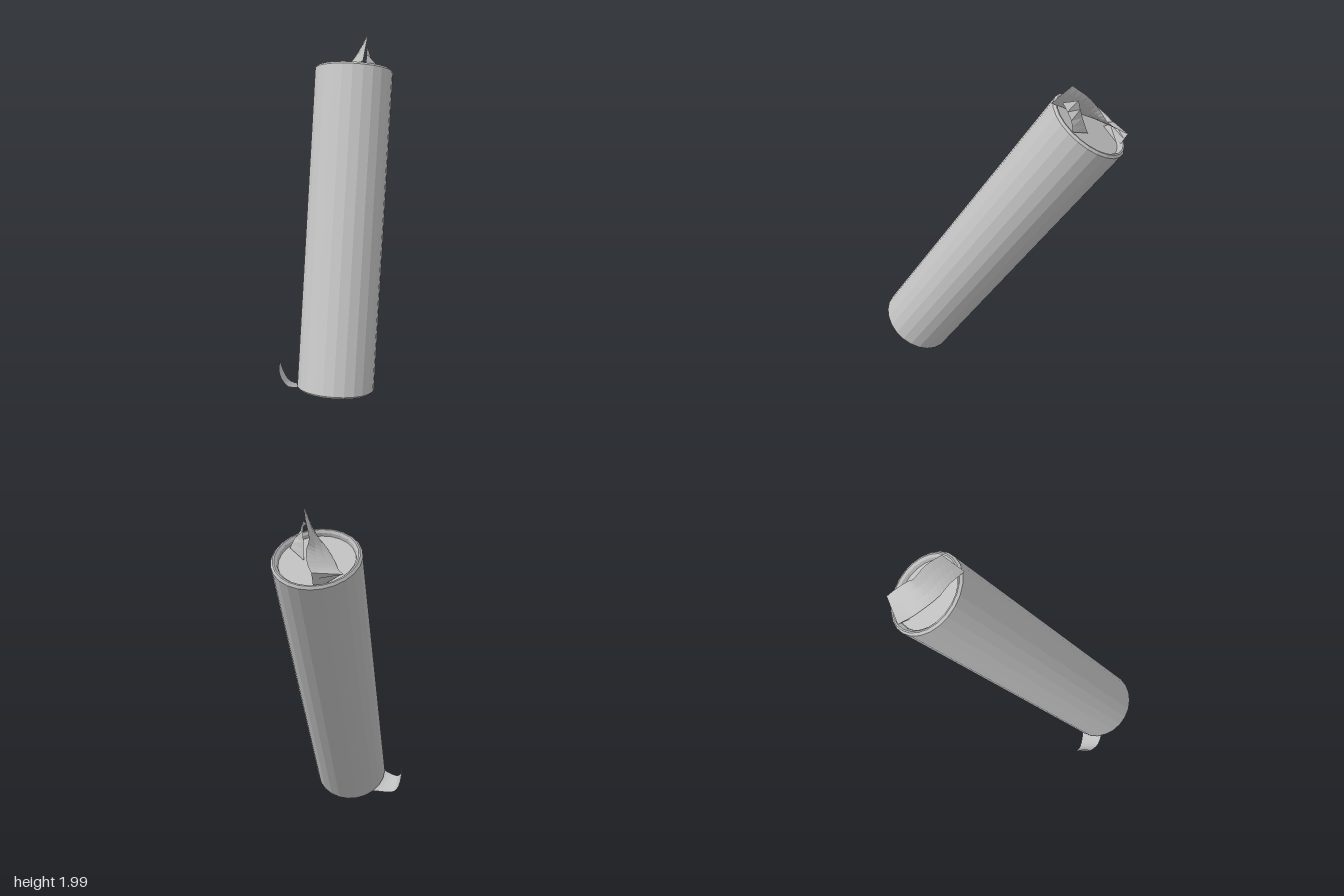
import * as THREE from 'three';

const foilGrey = new THREE.MeshStandardMaterial({ color: 0xbfbfbf, flatShading: true, side: THREE.DoubleSide });
foilGrey.name = 'foilGrey';

const v = (p) => new THREE.Vector3(...p);

// Ribbon lofted between two smooth edge curves
function ribbon(name, edgeA, edgeB, steps = 16, across = 3) {
  const a = new THREE.CatmullRomCurve3(edgeA.map(v));
  const b = new THREE.CatmullRomCurve3(edgeB.map(v));
  const pos = [], index = [], row = across + 1;
  for (let i = 0; i <= steps; i++) {
    const p = a.getPoint(i / steps), q = b.getPoint(i / steps);
    for (let j = 0; j <= across; j++) {
      pos.push(...p.clone().lerp(q, j / across).toArray());
      if (i < steps && j < across) {
        const k = i * row + j;
        index.push(k, k + 1, k + row, k + 1, k + row + 1, k + row);
      }
    }
  }
  const geo = new THREE.BufferGeometry();
  geo.setAttribute('position', new THREE.Float32BufferAttribute(pos, 3));
  geo.setIndex(index);
  geo.computeVertexNormals();
  const mesh = new THREE.Mesh(geo, foilGrey);
  mesh.name = name;
  return mesh;
}

export function createModel() {
  const model = new THREE.Group();
  model.name = 'sealedTube';

  // Tube with a chamfered rim and recessed disc at each end
  const half = 0.964, outer = 0.233, inner = 0.197, depth = 0.03, bevel = 0.012;
  const lower = [
    [0, -half + depth], [inner, -half + depth], [inner + 0.004, -half + bevel],
    [inner + 0.016, -half], [outer - bevel, -half], [outer, -half + bevel],
  ];
  const upper = lower.map(([r, y]) => [r, -y]).reverse();
  const profile = [...lower, ...upper].map(([r, y]) => new THREE.Vector2(r, y));
  const tube = new THREE.Mesh(new THREE.LatheGeometry(profile, 24), foilGrey);
  tube.name = 'tube';
  tube.quaternion.setFromUnitVectors(new THREE.Vector3(0, 1, 0), v([-0.244, 0.843, -0.48]).normalize());
  tube.position.y = 0.94;
  model.add(tube);

  // Twisted tab rising from the top disc
  model.add(ribbon('topTab',
    [[-0.344, 1.70, -0.628], [-0.30, 1.73, -0.603], [-0.245, 1.79, -0.55],
      [-0.234, 1.84, -0.514], [-0.174, 1.93, -0.472], [-0.11, 2.0, -0.41]],
    [[-0.433, 1.685, -0.493], [-0.37, 1.70, -0.455], [-0.325, 1.73, -0.425],
      [-0.227, 1.79, -0.372], [-0.156, 1.835, -0.351], [-0.08, 1.885, -0.312]]));

  // End of the top tab turned down to the disc
  model.add(ribbon('topTabFold',
    [[-0.344, 1.70, -0.628], [-0.325, 1.61, -0.59]],
    [[-0.433, 1.685, -0.493], [-0.375, 1.675, -0.465]], 2, 1));

  // Small crease joining the raised tip to the disc
  model.add(ribbon('topTabCrease',
    [[-0.174, 1.73, -0.485], [-0.15, 1.82, -0.46], [-0.13, 1.92, -0.44]],
    [[-0.06, 1.78, -0.461], [-0.075, 1.83, -0.44], [-0.095, 1.90, -0.37]], 4, 1));

  // Tab crossing the bottom disc and curling up beside the tube
  model.add(ribbon('bottomTab',
    [[-0.11, 0.23, 0.56], [-0.10, 0.165, 0.577], [-0.065, 0.128, 0.59], [-0.014, 0.12, 0.6],
      [0.10, 0.16, 0.57], [0.29, 0.19, 0.52], [0.39, 0.205, 0.48]],
    [[-0.156, 0.19, 0.50], [-0.135, 0.10, 0.495], [-0.085, 0.045, 0.50], [0, 0.035, 0.47],
      [0.07, 0.04, 0.43], [0.25, 0.10, 0.38], [0.34, 0.115, 0.34]], 20));

  return model;
}
